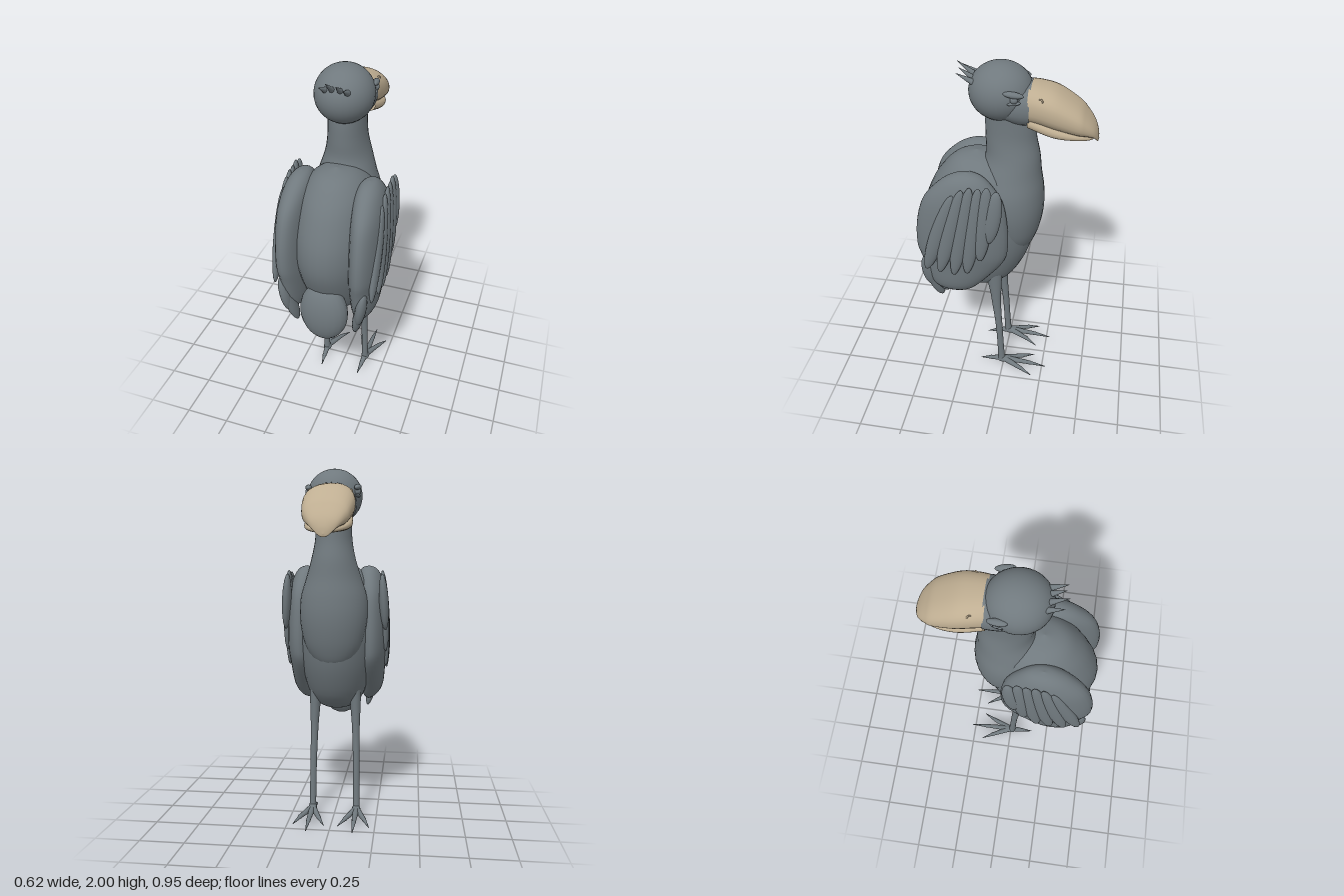
import * as THREE from 'three';

const mat = (name, color) => {
  const m = new THREE.MeshStandardMaterial({ color, side: THREE.DoubleSide });
  m.name = name;
  return m;
};

// Smooth skin through elliptical sections. Rows: [along, x, other, rx, rOther],
// stacked along y (other = z) or along z (other = y). pow < 1 squares the section.
function loft(rows, axis = 'y', pow = 1, steps = 40, sides = 32) {
  const smooth = (pts) => new THREE.CatmullRomCurve3(pts, false, 'catmullrom', 0.5);
  const mid = smooth(rows.map((r) => new THREE.Vector3(r[0], r[1], r[2])));
  const rad = smooth(rows.map((r) => new THREE.Vector3(r[3], r[4], 0)));
  const bend = (v) => Math.sign(v) * Math.abs(v) ** pow;
  const pos = [], idx = [];
  for (let i = 0; i <= steps; i++) {
    const m = mid.getPoint(i / steps), r = rad.getPoint(i / steps);
    for (let j = 0; j < sides; j++) {
      const t = (j / sides) * Math.PI * 2;
      const u = Math.max(r.x, 0) * bend(Math.cos(t)), v = Math.max(r.y, 0) * bend(Math.sin(t));
      if (axis === 'y') pos.push(m.y + u, m.x, m.z - v);
      else pos.push(m.y + u, m.z + v, m.x);
      if (i < steps) {
        const a = i * sides + j, b = i * sides + ((j + 1) % sides);
        idx.push(a, b, a + sides, b, b + sides, a + sides);
      }
    }
  }
  const g = new THREE.BufferGeometry();
  g.setAttribute('position', new THREE.Float32BufferAttribute(pos, 3));
  g.setIndex(idx);
  g.computeVertexNormals();
  return g;
}

// Places a unit-high geometry so its y axis runs from a to b
function span(geo, a, b, wx = 1, wz = 1) {
  const A = new THREE.Vector3(...a), B = new THREE.Vector3(...b);
  const Y = B.clone().sub(A), len = Y.length();
  Y.normalize();
  const X = new THREE.Vector3(1, 0, 0).addScaledVector(Y, -Y.x).normalize();
  const Z = X.clone().cross(Y);
  geo.scale(wx, len, wz);
  return geo.applyMatrix4(new THREE.Matrix4().makeBasis(X, Y, Z).setPosition(A.add(B).multiplyScalar(0.5)));
}
const blob = (a, b, wx, wz) => span(new THREE.SphereGeometry(0.5, 20, 14), a, b, wx * 2, wz * 2);
const taper = (a, b, r0, r1) => span(new THREE.CylinderGeometry(r1, r0, 1, 12), a, b);
const ball = (c, r, rx = r, rz = r) => new THREE.SphereGeometry(1, 32, 24).scale(rx, r, rz).translate(...c);

export function createModel() {
  const model = new THREE.Group();
  model.name = 'bird';
  const plumage = mat('slate plumage', 0x70797e);
  const horn = mat('tan horn', 0xbfae92);
  const add = (name, geo, m = plumage, parent = model) => {
    const mesh = new THREE.Mesh(geo, m);
    mesh.name = name;
    parent.add(mesh);
  };

  // Body, chest with neck, tail
  add('body', loft([
    [0.61, 0, 0.16, 0, 0], [0.635, 0, 0.16, 0.09, 0.1], [0.7, 0, 0.15, 0.155, 0.19],
    [0.85, 0, 0.15, 0.2, 0.27], [1.0, 0, 0.155, 0.22, 0.315], [1.15, 0, 0.15, 0.22, 0.315],
    [1.3, 0, 0.14, 0.2, 0.27], [1.4, 0, 0.135, 0.17, 0.21], [1.47, 0, 0.15, 0.1, 0.12], [1.5, 0, 0.16, 0, 0],
  ]));
  add('chestAndNeck', loft([
    [0.88, 0, -0.06, 0, 0], [0.92, 0, -0.06, 0.09, 0.075], [1.0, 0, -0.05, 0.15, 0.125],
    [1.1, 0, -0.04, 0.18, 0.16], [1.2, 0, -0.03, 0.192, 0.18], [1.3, 0, -0.02, 0.185, 0.185],
    [1.4, 0, -0.02, 0.155, 0.17], [1.5, 0, -0.035, 0.125, 0.145], [1.6, 0, -0.025, 0.105, 0.135],
    [1.7, 0, -0.02, 0.1, 0.13], [1.8, 0, -0.01, 0.1, 0.11],
  ]));
  add('tail', blob([0, 0.525, 0.4], [0, 0.9, 0.385], 0.138, 0.08));

  // Head and face
  add('head', ball([0, 1.85, 0.027], 0.15, 0.155, 0.165));
  add('face', loft([
    [-0.13, 0, 1.8, 0.128, 0.112], [-0.08, 0, 1.8, 0.13, 0.112], [-0.03, 0, 1.8, 0.127, 0.1],
    [0.02, 0, 1.8, 0.105, 0.075], [0.05, 0, 1.8, 0, 0],
  ], 'z', 0.9));

  // Hooked bill
  add('upperBill', loft([
    [-0.476, 0, 1.63, 0, 0], [-0.47, 0, 1.643, 0.032, 0.028], [-0.45, 0, 1.68, 0.072, 0.037],
    [-0.41, 0, 1.713, 0.105, 0.057], [-0.365, 0, 1.738, 0.125, 0.077], [-0.26, 0, 1.782, 0.139, 0.099],
    [-0.18, 0, 1.803, 0.134, 0.1], [-0.12, 0, 1.81, 0.125, 0.1],
  ], 'z', 0.85), horn);
  add('lowerBill', loft([
    [-0.46, 0, 1.65, 0, 0], [-0.44, 0, 1.652, 0.06, 0.015], [-0.36, 0, 1.668, 0.108, 0.027],
    [-0.25, 0, 1.69, 0.125, 0.04], [-0.12, 0, 1.73, 0.115, 0.04],
  ], 'z', 0.8), horn);

  // Crest at the back of the head
  [[-0.06, 0.235, 1.95], [-0.02, 0.25, 1.98], [0.025, 0.235, 1.965], [0.062, 0.24, 1.95]].forEach(([x, z, y]) =>
    add('crestFeather', taper([x * 0.9, 1.9, 0.14], [x, y, z], 0.02, 0.001)));

  for (const s of [1, -1]) {
    const side = new THREE.Group();
    side.name = s > 0 ? 'leftSide' : 'rightSide';
    model.add(side);
    const put = (name, geo, m) => add(name, geo, m, side);
    const P = (x, y, z) => [s * x, y, z];

    // Eye between brow and lower lid, nostril rim
    put('eye', ball(P(0.134, 1.868, -0.058), 0.02));
    put('brow', blob(P(0.13, 1.885, -0.105), P(0.142, 1.9, -0.005), 0.018, 0.016));
    put('lowerLid', blob(P(0.128, 1.85, -0.09), P(0.14, 1.846, -0.02), 0.014, 0.01));
    const rim = new THREE.TorusGeometry(0.011, 0.004, 8, 16);
    put('nostril', rim.rotateY(s * 1.1).translate(s * 0.112, 1.858, -0.185), horn);

    // Wing with overlapping flight feathers
    put('wing', loft([
      [0.65, 0.18, 0.26, 0, 0], [0.68, 0.19, 0.27, 0.04, 0.09], [0.75, 0.2, 0.26, 0.07, 0.15],
      [0.9, 0.2, 0.22, 0.085, 0.23], [1.0, 0.205, 0.215, 0.09, 0.255], [1.15, 0.205, 0.21, 0.09, 0.25],
      [1.3, 0.2, 0.2, 0.085, 0.215], [1.4, 0.19, 0.19, 0.07, 0.14], [1.45, 0.185, 0.18, 0.04, 0.07],
      [1.465, 0.185, 0.18, 0, 0],
    ].map((r) => [r[0], s * r[1], ...r.slice(2)])));
    [
      [1.37, 0.24, 0.86, 0.41], [1.41, 0.19, 0.86, 0.33], [1.43, 0.145, 0.85, 0.25],
      [1.43, 0.1, 0.87, 0.175], [1.44, 0.055, 0.97, 0.1], [1.42, 0.005, 1.1, 0.05],
    ].forEach(([y0, z0, y1, z1], i) =>
      put('flightFeather', blob(P(0.27, y0, z0), P(i ? 0.29 : 0.275, y1, z1), 0.027, 0.046)));
    [[0.9, 0.42, 0.585, 0.36, 0.17], [0.9, 0.37, 0.64, 0.32, 0.19], [0.92, 0.42, 0.68, 0.4, 0.2]].forEach(
      ([y0, z0, y1, z1, x]) => put('wingTipFeather', blob(P(0.235, y0, z0), P(x, y1, z1), 0.03, 0.045)));

    // Leg
    put('leg', loft([
      [0.025, 0.13, 0.005, 0.024, 0.03], [0.07, 0.13, 0.012, 0.019, 0.021], [0.3, 0.127, 0.024, 0.019, 0.02],
      [0.5, 0.123, 0.04, 0.022, 0.026], [0.62, 0.12, 0.047, 0.028, 0.035], [0.78, 0.115, 0.06, 0.038, 0.055],
    ].map((r) => [r[0], s * r[1], ...r.slice(2)])));

    // Toes with claws
    [
      [0.13, -0.17, 0.13, -0.272], [0.185, -0.12, 0.217, -0.19],
      [0.078, -0.12, 0.04, -0.19], [0.125, 0.08, 0.12, 0.145],
    ].forEach(([x1, z1, x2, z2]) => {
      const knuckle = P(x1, 0.022, z1);
      put('toe', taper(P(0.13, 0.036, 0), knuckle, 0.02, 0.012));
      put('knuckle', ball(knuckle, 0.013));
      put('claw', taper(knuckle, P(x2, 0.004, z2), 0.012, 0.002));
    });
    put('ankle', ball(P(0.13, 0.034, 0), 0.025, 0.025, 0.03));
  }
  return model;
}
